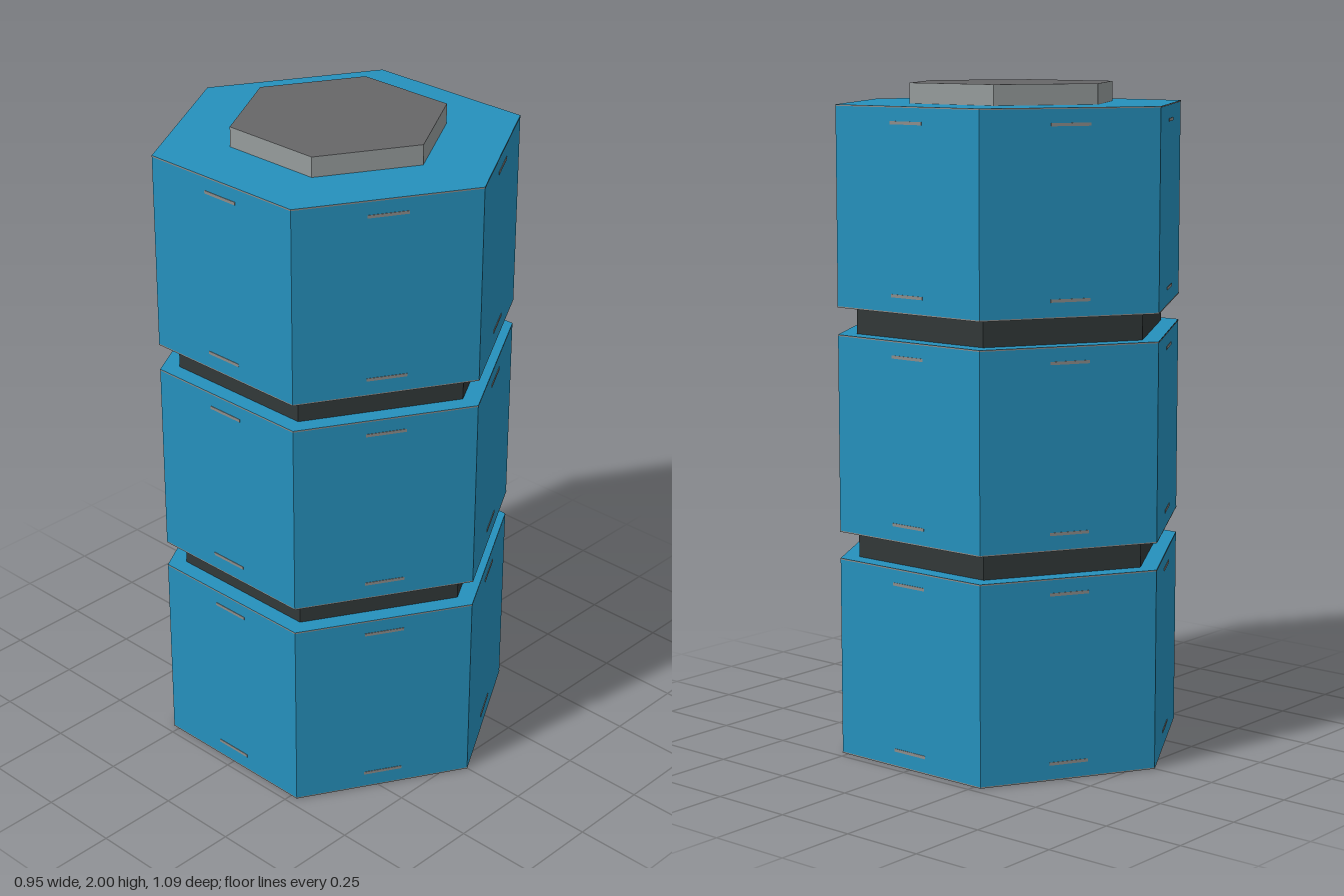
import * as THREE from 'three';

const mat = (name, color) => {
  const m = new THREE.MeshStandardMaterial({ color });
  m.name = name;
  return m;
};

export function createModel() {
  const group = new THREE.Group();
  const blue = mat('blue', 0x2590bc);
  const dark = mat('darkGrey', 0x313838);
  const topGrey = mat('midGrey', 0x666668);
  const sideGrey = mat('lightGrey', 0x959b9b);
  const trim = mat('trimGrey', 0x8c8c8a);
  const R = 0.545;
  const apothem = R * Math.cos(Math.PI / 6);

  // Six-sided prism with flat faces, corners pointing along z
  const prism = (name, r, y0, y1, materials, open = false, parent = group) => {
    const geo = new THREE.CylinderGeometry(r, r, y1 - y0, 6, 1, open).toNonIndexed();
    geo.computeVertexNormals();
    const mesh = new THREE.Mesh(geo, materials);
    mesh.name = name;
    mesh.position.y = (y0 + y1) / 2;
    parent.add(mesh);
  };

  // Three stacked segments with thin rims and small slot marks on every face
  const markGeo = new THREE.BoxGeometry(0.12, 0.009, 0.003);
  [[0, 0.6], [0.68, 1.27], [1.35, 1.94]].forEach(([y0, y1], i) => {
    const segment = new THREE.Group();
    segment.name = `segment${i + 1}`;
    group.add(segment);
    prism('segmentBody', R, y0, y1, [blue, blue, i === 0 ? dark : blue], false, segment);
    prism('lowerRim', R + 0.001, y0, y0 + 0.004, trim, true, segment);
    prism('upperRim', R + 0.001, y1 - 0.004, y1, trim, true, segment);
    for (let k = 0; k < 6; k++) {
      const a = Math.PI / 6 + (k * Math.PI) / 3;
      for (const y of [y0 + 0.05, y1 - 0.047]) {
        const mark = new THREE.Mesh(markGeo, trim);
        mark.name = 'slotMark';
        mark.position.set(Math.sin(a) * apothem, y, Math.cos(a) * apothem);
        mark.rotation.y = a;
        segment.add(mark);
      }
    }
  });

  // Recessed necks between segments
  prism('lowerNeck', 0.487, 0.6, 0.68, dark, true);
  prism('upperNeck', 0.487, 1.27, 1.35, dark, true);

  // Raised cap
  prism('cap', 0.32, 1.94, 2, [sideGrey, topGrey, topGrey]);

  return group;
}
